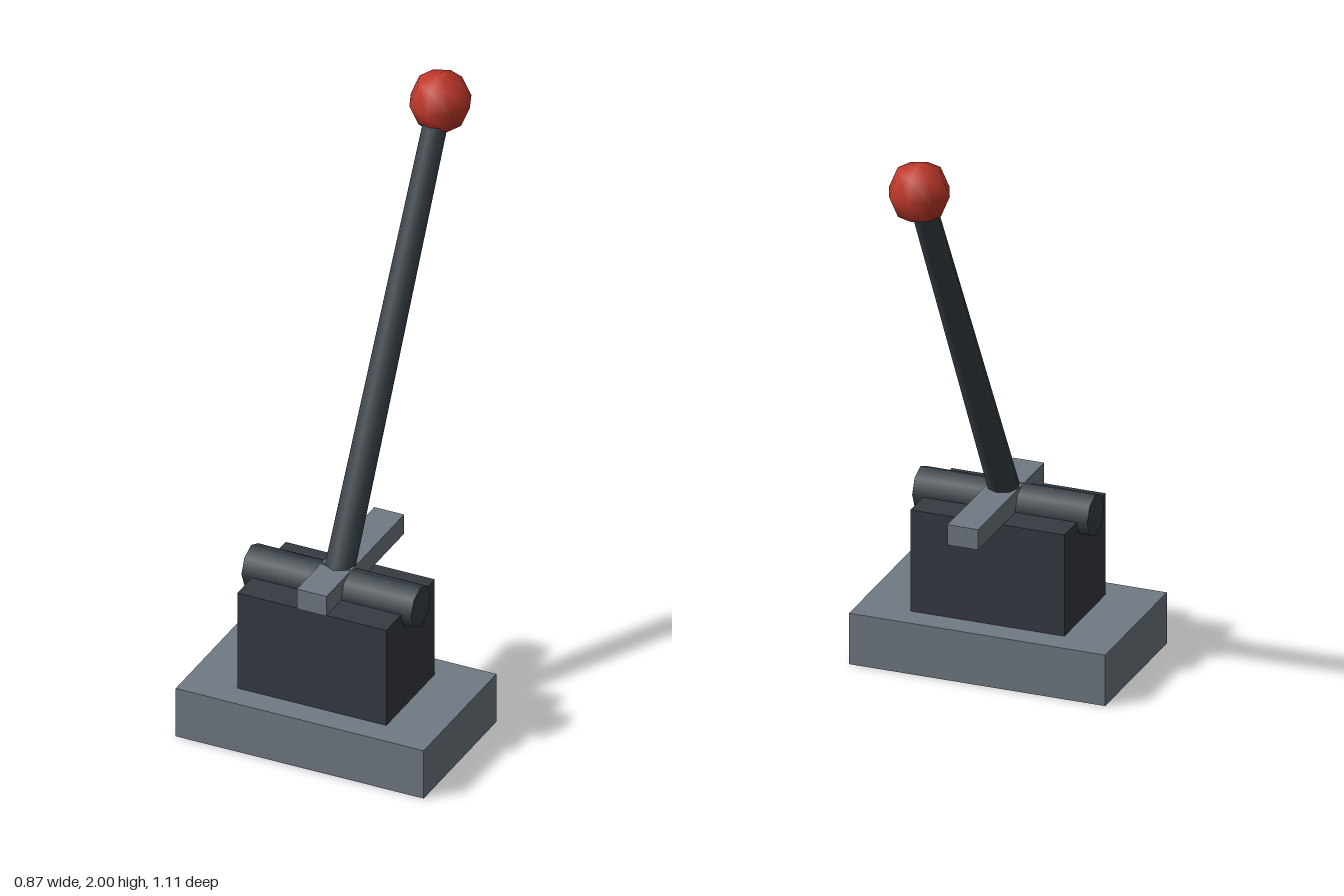
import * as THREE from 'three';

const material = (name, color) => {
  const m = new THREE.MeshStandardMaterial({ color });
  m.name = name;
  return m;
};

export function createModel() {
  const steel = material('steel grey', 0x717a84);
  const housing = material('dark housing', 0x363a42);
  const iron = material('dark iron', 0x374046);
  const red = material('red', 0xc0392b);

  const group = new THREE.Group();
  const add = (name, geometry, mat, x, y, z) => {
    const mesh = new THREE.Mesh(geometry, mat);
    mesh.name = name;
    mesh.position.set(x, y, z);
    group.add(mesh);
    return mesh;
  };

  // Base plate, housing block and guide bar
  add('basePlate', new THREE.BoxGeometry(0.866, 0.175, 0.52), steel, 0, 0.0875, 0.295);
  add('housingBlock', new THREE.BoxGeometry(0.52, 0.348, 0.346), housing, 0, 0.349, 0.295);
  add('guideBar', new THREE.BoxGeometry(0.104, 0.07, 0.555), steel, 0, 0.558, 0.1915);

  // Cross axle
  const pivot = new THREE.Vector3(0, 0.526, 0.295);
  const axle = add('pivotAxle', new THREE.CylinderGeometry(0.07, 0.07, 0.592, 8), iron, ...pivot.toArray());
  axle.rotation.z = Math.PI / 2;

  // Tapered lever leaning back from the axle to the knob
  const knobCentre = new THREE.Vector3(0, 1.897, -0.452);
  const span = knobCentre.clone().sub(pivot);
  const middle = pivot.clone().add(knobCentre).multiplyScalar(0.5);
  const lever = add('leverRod', new THREE.CylinderGeometry(0.042, 0.052, span.length(), 8), iron, ...middle.toArray());
  lever.rotation.x = Math.atan2(span.z, span.y);

  // Faceted knob
  add('knob', new THREE.SphereGeometry(0.103, 8, 4), red, ...knobCentre.toArray());

  return group;
}
